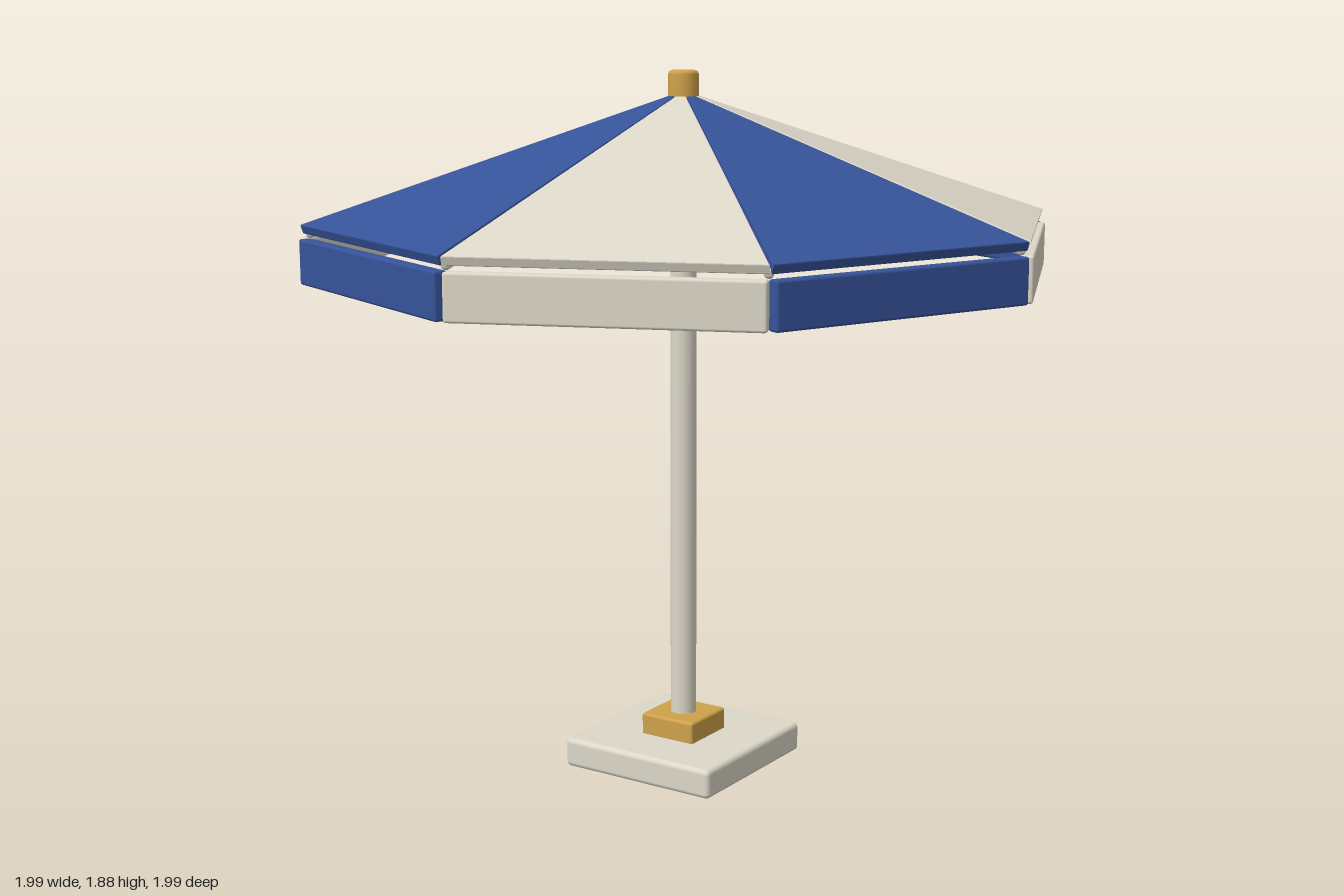
import * as THREE from 'three';
import { RoundedBoxGeometry } from 'three/addons/geometries/RoundedBoxGeometry.js';

const SIDES = 8;
const STEP = (Math.PI * 2) / SIDES;
const APEX_Y = 1.828;   // top of the canopy
const RIM_R = 0.995;    // canopy corner radius
const DROP = 0.328;     // fall from apex to rim

const material = (name, color) => {
  const m = new THREE.MeshStandardMaterial({ color });
  m.name = name;
  return m;
};

function addMesh(parent, name, geometry, mat, x = 0, y = 0, z = 0) {
  const mesh = new THREE.Mesh(geometry, mat);
  mesh.name = name;
  mesh.position.set(x, y, z);
  parent.add(mesh);
  return mesh;
}

// Turned solid with softened rims
function softCylinder(r, y0, y1, b) {
  const pts = [[0, y0], [r - b, y0], [r - b * 0.3, y0 + b * 0.3], [r, y0 + b],
    [r, y1 - b], [r - b * 0.3, y1 - b * 0.3], [r - b, y1], [0, y1]];
  return new THREE.LatheGeometry(pts.map(p => new THREE.Vector2(...p)), 24);
}

// Wedge-shaped fabric panel lying in its own slope plane, apex at the origin
function panelGeometry(apothem, slopeLength) {
  const thickness = 0.025, bevel = 0.003, gap = 0.005, start = 0.03;
  const half = apothem * Math.tan(STEP / 2);
  const tip = half * start / slopeLength - gap + 0.003;
  const shape = new THREE.Shape();
  shape.moveTo(-tip, -start);
  shape.lineTo(-half + gap, -slopeLength);
  shape.lineTo(half - gap, -slopeLength);
  shape.lineTo(tip, -start);
  shape.closePath();
  const geo = new THREE.ExtrudeGeometry(shape, {
    depth: thickness - 2 * bevel, bevelEnabled: true, bevelSegments: 2,
    bevelThickness: bevel, bevelSize: bevel, bevelOffset: -bevel,
  });
  return geo.translate(0, 0, bevel - thickness);
}

export function createModel() {
  const cream = material('cream', 0xdcd7c8);
  const blue = material('blue', 0x365399);
  const gold = material('gold', 0xcfa24a);

  const model = new THREE.Group();
  model.name = 'parasol';

  // Stand: square foot, collar and pole
  addMesh(model, 'base', new RoundedBoxGeometry(0.466, 0.08, 0.466, 3, 0.014), cream, 0, 0.04, 0);
  addMesh(model, 'collar', new RoundedBoxGeometry(0.166, 0.064, 0.166, 3, 0.008), gold, 0, 0.106, 0);
  addMesh(model, 'pole', softCylinder(0.035, 0.1, 1.79, 0.004), cream);
  addMesh(model, 'cap', softCylinder(0.04, 1.775, 1.88, 0.01), gold);

  const apothem = RIM_R * Math.cos(STEP / 2);
  const slopeLength = Math.hypot(apothem, DROP);
  const panelGeo = panelGeometry(apothem, slopeLength);
  const valanceGeo = new RoundedBoxGeometry(0.744, 0.117, 0.035, 3, 0.007);

  // Rib running under a seam between two panels
  const slope = DROP / RIM_R;
  const ribPoint = r => new THREE.Vector3(0, APEX_Y - 0.032 - slope * r, r);
  const ribGeo = new THREE.TubeGeometry(
    new THREE.LineCurve3(ribPoint(0.02), ribPoint(0.968)), 1, 0.012, 10, false);
  const ribEndGeo = new THREE.SphereGeometry(0.012, 10, 8);

  const canopy = new THREE.Group();
  canopy.name = 'canopy';
  model.add(canopy);

  for (let i = 0; i < SIDES; i++) {
    const color = i % 2 ? blue : cream;

    // Panel with its hanging valance
    const section = new THREE.Group();
    section.name = 'canopySection';
    section.rotation.y = (i + 0.5) * STEP;
    const panel = addMesh(section, 'panel', panelGeo, color, 0, APEX_Y, 0);
    panel.rotation.x = -Math.asin(apothem / slopeLength);
    addMesh(section, 'valance', valanceGeo, color, 0, 1.4065, 0.9095);
    canopy.add(section);

    // Rib with a rounded end
    const rib = new THREE.Group();
    rib.name = 'rib';
    rib.rotation.y = i * STEP;
    addMesh(rib, 'ribRod', ribGeo, cream);
    addMesh(rib, 'ribEnd', ribEndGeo, cream, ...ribPoint(0.968).toArray());
    canopy.add(rib);
  }
  return model;
}
